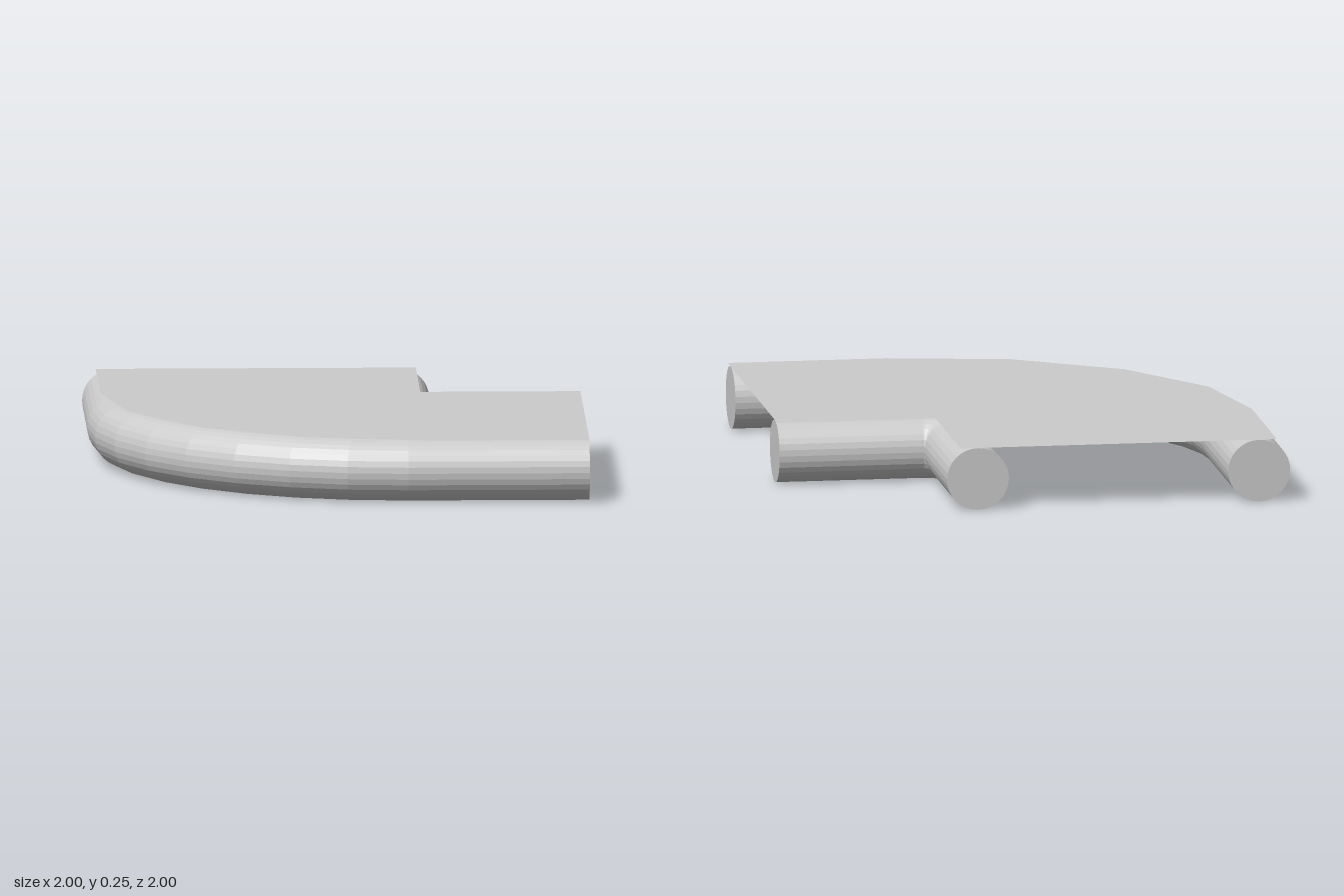
import * as THREE from 'three';

const RHO = 0.127; // rail radius
const SIDES = 32;

const grey = () => new THREE.MeshStandardMaterial({ color: 0xcccccc, flatShading: true, side: THREE.DoubleSide });

// Capped round rail: straight, quarter bend about (c, -c), straight
function railGeometry(c, r, steps) {
  const rings = [[0, -1 + c]];
  for (let i = 0; i <= steps; i++) rings.push([(i / steps) * Math.PI / 2, 0]);
  rings.push([Math.PI / 2, 1 - c]);

  const pos = [], idx = [];
  for (const [t, along] of rings) {
    const ox = -Math.cos(t), oz = Math.sin(t);
    const px = c + oz * along, pz = -c + ox * -along;
    for (let j = 0; j < SIDES; j++) {
      const f = (j / SIDES) * Math.PI * 2;
      const d = r + RHO * Math.cos(f);
      pos.push(px + ox * d, RHO + RHO * Math.sin(f), pz + oz * d);
    }
  }
  const last = (rings.length - 1) * SIDES;
  const hub = rings.length * SIDES;
  pos.push(c - r, RHO, -1, 1, RHO, -c + r); // cap centres
  for (let j = 0; j < SIDES; j++) {
    const k = (j + 1) % SIDES;
    for (let i = 0; i < last; i += SIDES) {
      const n = i + SIDES;
      idx.push(i + j, n + j, n + k, i + j, n + k, i + k);
    }
    idx.push(hub, j, k, hub + 1, last + k, last + j);
  }
  const g = new THREE.BufferGeometry();
  g.setAttribute('position', new THREE.Float32BufferAttribute(pos, 3));
  g.setIndex(idx);
  // the first straight runs back along -z
  for (let j = 0; j < SIDES; j++) g.attributes.position.setZ(j, -1);
  g.computeVertexNormals();
  return g;
}

export function createModel() {
  const model = new THREE.Group();
  const add = (name, geometry) => {
    const mesh = new THREE.Mesh(geometry, grey());
    mesh.name = name;
    model.add(mesh);
  };

  add('outerRail', railGeometry(0.265, 1.138, 8));
  add('innerRail', railGeometry(0.407, 0.127, 8));

  // Flat deck: L-shaped inside corner, coarse quarter round outside
  const c = 0.352, edge = 0.945;
  const outline = [[1, c], [c, c], [c, 1], [-edge, 1]];
  for (let i = 0; i <= 4; i++) {
    const t = (i / 4) * Math.PI / 2;
    outline.push([c - (c + edge) * Math.cos(t), c - (c + edge) * Math.sin(t)]);
  }
  outline.push([1, -edge]);
  const deck = new THREE.ShapeGeometry(new THREE.Shape(outline.map(([x, y]) => new THREE.Vector2(x, y))));
  deck.rotateX(-Math.PI / 2).translate(0, 2 * RHO + 0.001, 0);
  add('deck', deck);

  return model;
}
